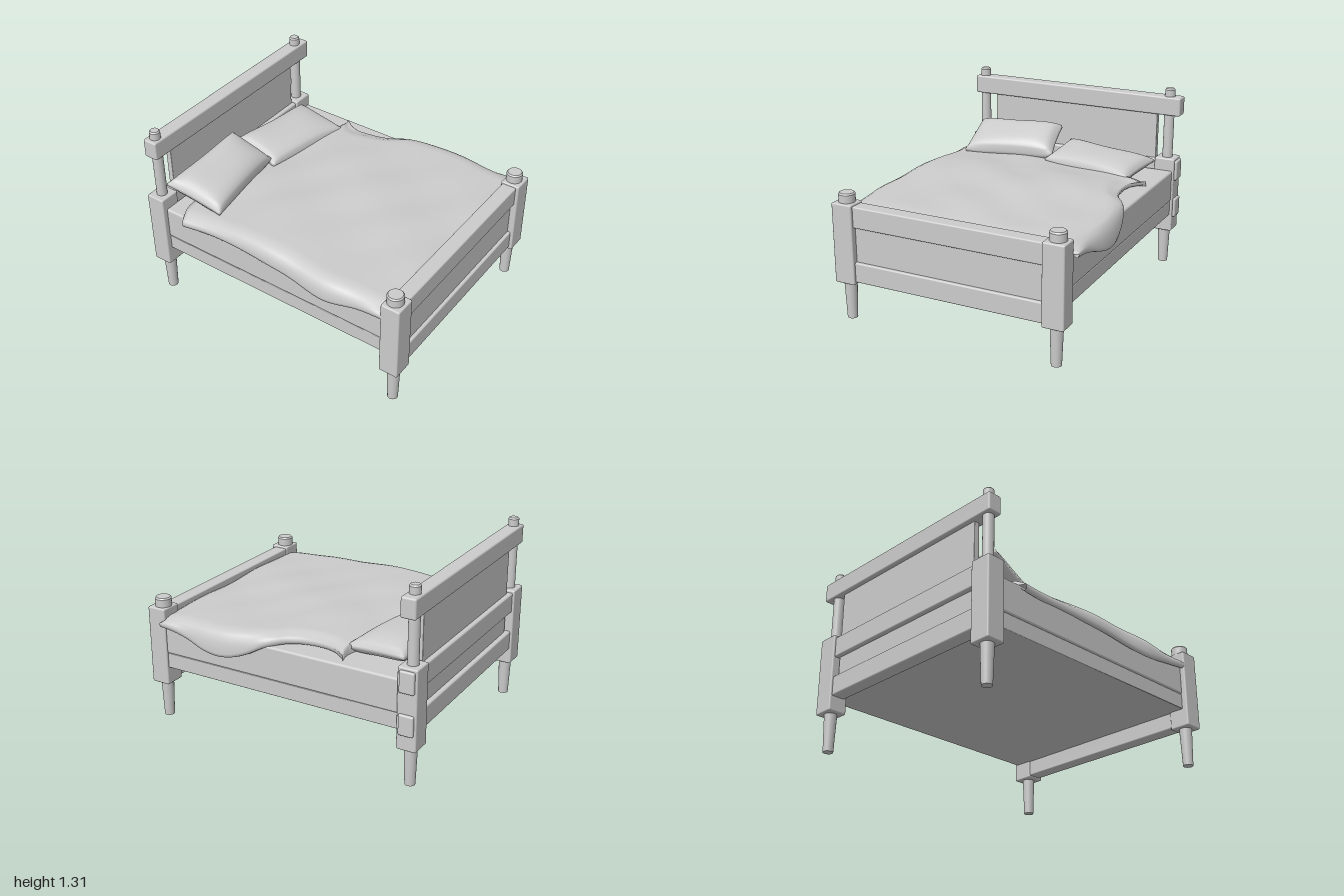
import * as THREE from 'three';
import { RoundedBoxGeometry } from 'three/addons/geometries/RoundedBoxGeometry.js';
import { mergeVertices } from 'three/addons/utils/BufferGeometryUtils.js';

const grey = new THREE.MeshStandardMaterial({ color: 0xcccccc });
const cloth = new THREE.MeshStandardMaterial({ color: 0xcccccc, side: THREE.DoubleSide });

// Smooth curve through [t, value] pairs
function curve(pairs) {
  const c = new THREE.CubicInterpolant(pairs.map(p => p[0]), pairs.map(p => p[1]), 1);
  return t => c.evaluate(t)[0];
}

export function createModel() {
  const model = new THREE.Group();
  const add = (name, geometry, material = grey) => {
    const mesh = new THREE.Mesh(geometry, material);
    mesh.name = name;
    model.add(mesh);
    return mesh;
  };
  // Box given by its extents on each axis
  const box = (name, x0, x1, y0, y1, z0, z1, r = 0.01) => {
    add(name, new RoundedBoxGeometry(x1 - x0, y1 - y0, z1 - z0, 3, r))
      .position.set((x0 + x1) / 2, (y0 + y1) / 2, (z0 + z1) / 2);
  };
  // Upright round part with a chamfered top
  const peg = (name, x, z, y0, y1, r0, r1 = r0) => {
    const profile = [[0, y0], [r0, y0], [r0, y0], [r1, y1 - 0.01], [r1, y1 - 0.01], [r1 - 0.008, y1], [r1 - 0.008, y1], [0, y1]];
    add(name, new THREE.LatheGeometry(profile.map(p => new THREE.Vector2(...p)), 32)).position.set(x, 0, z);
  };

  // Corner posts, tapered legs and round finials
  for (const x of [-0.765, 0.723]) {
    for (const z of [0.932, -0.93]) {
      box(z > 0 ? 'footPost' : 'headPost', x - 0.074, x + 0.074, 0.26, 0.807, z - 0.067, z + 0.067);
      peg('leg', x, z, 0, 0.27, 0.034, 0.043);
    }
    peg('footPostCap', x, 0.925, 0.8, 0.87, 0.055);
    peg('headPostSpindle', x, -0.93, 0.8, 1.31, 0.036);
  }

  // Footboard
  box('footTopRail', -0.72, 0.68, 0.65, 0.795, 0.875, 0.978);
  box('footBottomRail', -0.72, 0.68, 0.275, 0.412, 0.875, 0.978);
  box('footPanel', -0.72, 0.68, 0.4, 0.66, 0.9, 0.955, 0.004);

  // Headboard: three long rails running through the posts, and a panel
  for (const [y0, y1] of [[1.12, 1.252], [0.645, 0.79], [0.365, 0.505]])
    box('headRail', -0.825, 0.815, y0, y1, -0.982, -0.88, 0.012);
  box('headPanel', -0.665, 0.64, 0.49, 1.14, -0.95, -0.91, 0.004);

  // Bed base and mattress
  box('bedBase', -0.8, 0.78, 0.385, 0.492, -0.88, 0.88, 0.005);
  box('mattress', -0.805, 0.786, 0.492, 0.72, -0.87, 0.872, 0.015);

  // Pillows: a grid spread between four corners and puffed along its normal
  const pillow = (name, corners, half, bend) => {
    const [bl, br, fr, fl] = corners.map(c => new THREE.Vector3(...c));
    const normal = fl.clone().sub(bl).cross(br.clone().sub(bl)).normalize();
    const g = new THREE.BoxGeometry(2, 2, 2, 28, 2, 28);
    const pos = g.attributes.position, p = new THREE.Vector3(), q = new THREE.Vector3();
    for (let i = 0; i < pos.count; i++) {
      const u = pos.getX(i), s = pos.getY(i), v = pos.getZ(i);
      // pull the edges slightly in between the corners
      const a = (u * (1 - 0.03 * (1 - v * v)) + 1) / 2;
      const b = (v * (1 - 0.03 * (1 - u * u)) + 1) / 2;
      p.copy(bl).lerp(br, a).lerp(q.copy(fl).lerp(fr, a), b);
      const puff = Math.sqrt((1 - u ** 4) * (1 - v ** 4));
      const fold = bend * (Math.sin(3 * u + 1.5 * v) * 0.4 - v * v) * (1 - u ** 4);
      p.addScaledVector(normal, s * (0.012 + half * puff) + fold);
      pos.setXYZ(i, p.x, p.y, p.z);
    }
    g.deleteAttribute('uv');
    g.deleteAttribute('normal');
    const smooth = mergeVertices(g, 1e-5);
    smooth.computeVertexNormals();
    add(name, smooth);
  };
  pillow('leaningPillow', [[-0.765, 0.9, -0.875], [-0.09, 0.94, -0.87], [-0.035, 0.8, -0.575], [-0.7, 0.78, -0.485]], 0.075, 0.01);
  pillow('flatPillow', [[-0.02, 0.84, -0.885], [0.655, 0.79, -0.83], [0.605, 0.76, -0.415], [-0.065, 0.78, -0.53]], 0.055, 0.012);

  // Blanket: cross-sections from head to foot, hanging over both sides
  const headEdge = curve([[-0.85, -0.69], [-0.7, -0.74], [0, -0.6], [0.5, -0.48], [0.65, -0.44], [0.74, -0.46]]);
  const leftX = curve([[-0.7, -0.85], [-0.5, -0.825], [-0.25, -0.82], [0, -0.83], [0.2, -0.835], [0.45, -0.855], [0.7, -0.835], [0.88, -0.84]]);
  const leftY = curve([[-0.7, 0.67], [-0.3, 0.68], [0.1, 0.66], [0.45, 0.62], [0.7, 0.66], [0.88, 0.68]]);
  const rightX = curve([[-0.46, 0.74], [-0.39, 0.68], [-0.2, 0.665], [-0.05, 0.71], [0.06, 0.785], [0.18, 0.825], [0.35, 0.852], [0.5, 0.852], [0.7, 0.83], [0.88, 0.835]]);
  const rightY = curve([[-0.46, 0.724], [-0.1, 0.724], [0.07, 0.705], [0.2, 0.64], [0.3, 0.605], [0.4, 0.592], [0.5, 0.602], [0.65, 0.645], [0.8, 0.68], [0.88, 0.69]]);
  const topY = curve([[-0.75, 0.76], [-0.4, 0.785], [-0.2, 0.805], [0, 0.81], [0.3, 0.79], [0.6, 0.78], [0.8, 0.77], [0.88, 0.755]]);
  const rows = 60, topSteps = 48, foot = 0.878;
  const verts = [], index = [];
  let width = 0;
  for (let j = -1; j <= rows + 1; j++) {
    const v = THREE.MathUtils.clamp(j / rows, 0, 1);
    const zAt = x => THREE.MathUtils.lerp(headEdge(x), foot, v);
    const zl = zAt(-0.85), zr = zAt(0.74);
    const xl = leftX(zl), yl = leftY(zl), xr = rightX(zr), yr = rightY(zr);
    const hl = topY(zl) - 0.012, hr = topY(zr) - 0.012;
    const section = [[xl + 0.04, yl + 0.025], [xl + 0.02, yl + 0.003], [xl + 0.006, yl + 0.008], [xl, yl + 0.03],
      [xl + 0.008, (yl + hl) / 2 + 0.01], [xl + 0.03, hl - 0.02], [xl + 0.065, hl - 0.004]];
    for (let i = 0; i <= topSteps; i++) {
      const x = THREE.MathUtils.lerp(xl + 0.1, xr - 0.1, i / topSteps);
      const z = zAt(x), inside = Math.sin(Math.PI * i / topSteps);
      const ripple = 0.006 * Math.sin(7 * x + 5 * z) + 0.004 * Math.sin(13 * z - 9 * x);
      section.push([x, topY(z) - 0.008 * (1 - inside) + ripple * inside]);
    }
    section.push([xr - 0.065, hr - 0.004], [xr - 0.03, hr - 0.02], [xr - 0.008, (yr + hr) / 2 + 0.01],
      [xr, yr + 0.03], [xr - 0.006, yr + 0.008], [xr - 0.02, yr + 0.003], [xr - 0.04, yr + 0.025]);
    width = section.length;
    // first and last rows fold down to close the ends
    const end = j < 0 || j > rows;
    for (const [x, y] of section) verts.push(x, end ? Math.min(y, 0.715) : y, zAt(x));
  }
  for (let j = 0; j < rows + 2; j++)
    for (let i = 0; i < width - 1; i++) {
      const a = j * width + i, c = a + width;
      index.push(a, c, a + 1, a + 1, c, c + 1);
    }
  const blanket = new THREE.BufferGeometry();
  blanket.setAttribute('position', new THREE.Float32BufferAttribute(verts, 3));
  blanket.setIndex(index);
  blanket.computeVertexNormals();
  add('blanket', blanket, cloth);

  return model;
}
